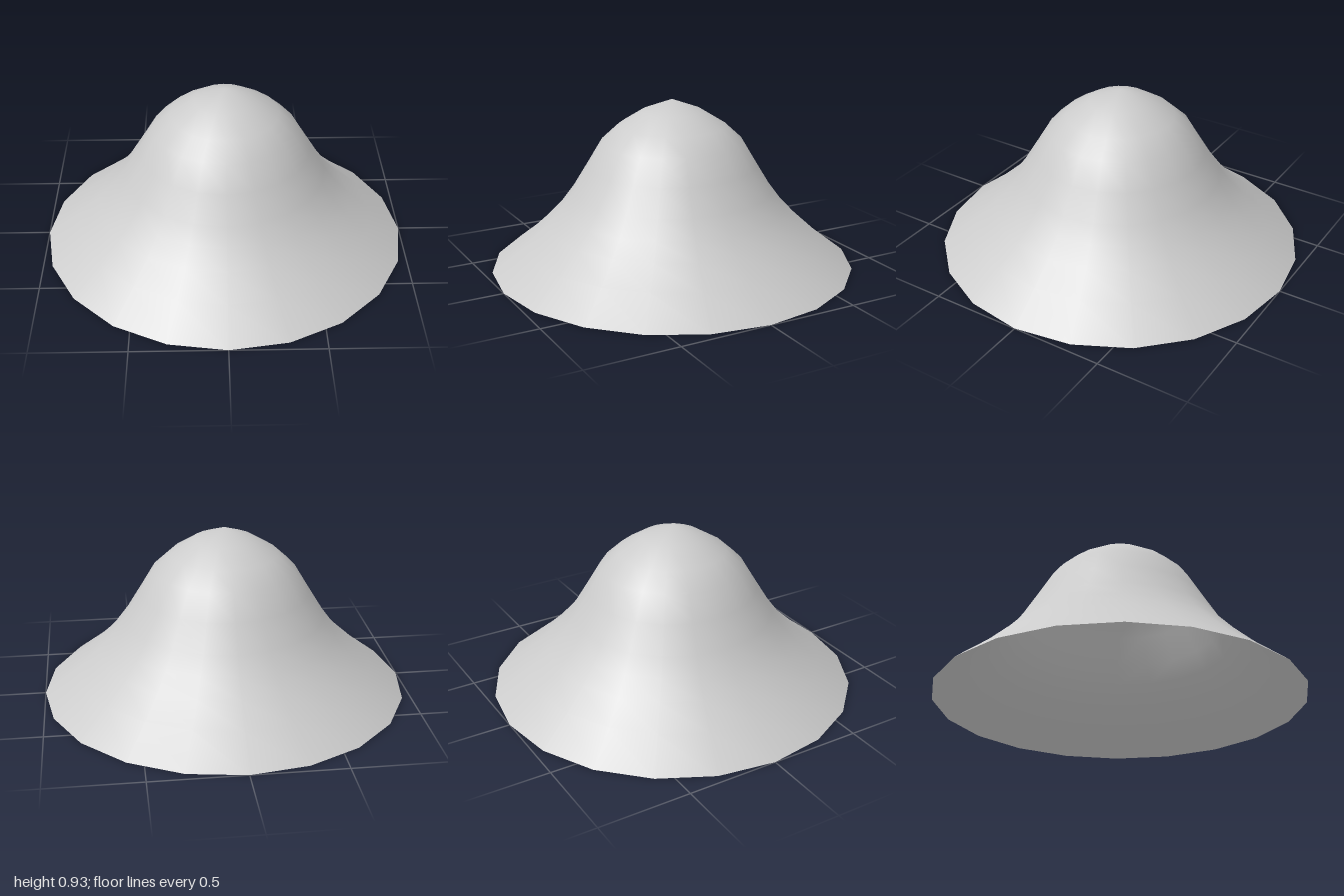
import * as THREE from 'three';

export function createModel() {
  const group = new THREE.Group();
  group.name = 'bellDome';

  // Bell profile from the rim up to the apex: [radius, height]
  const profile = [
    [1, 0], [0.82, 0.14], [0.7, 0.25], [0.62, 0.335], [0.55, 0.43],
    [0.465, 0.57], [0.388, 0.70], [0.294, 0.787], [0.166, 0.867], [0, 0.93],
  ].map(([r, y]) => new THREE.Vector2(r, y));

  const geometry = new THREE.LatheGeometry(profile, 20);

  // Round off the shading at the apex
  const { position, normal } = geometry.attributes;
  for (let i = 0; i < position.count; i++) {
    if (position.getY(i) > 0.92) normal.setXYZ(i, 0, 1, 0);
  }

  // Thin open shell, visible from inside too
  const shell = new THREE.Mesh(
    geometry,
    new THREE.MeshStandardMaterial({ color: 0xcccccc, side: THREE.DoubleSide }),
  );
  shell.name = 'shell';
  group.add(shell);
  return group;
}
